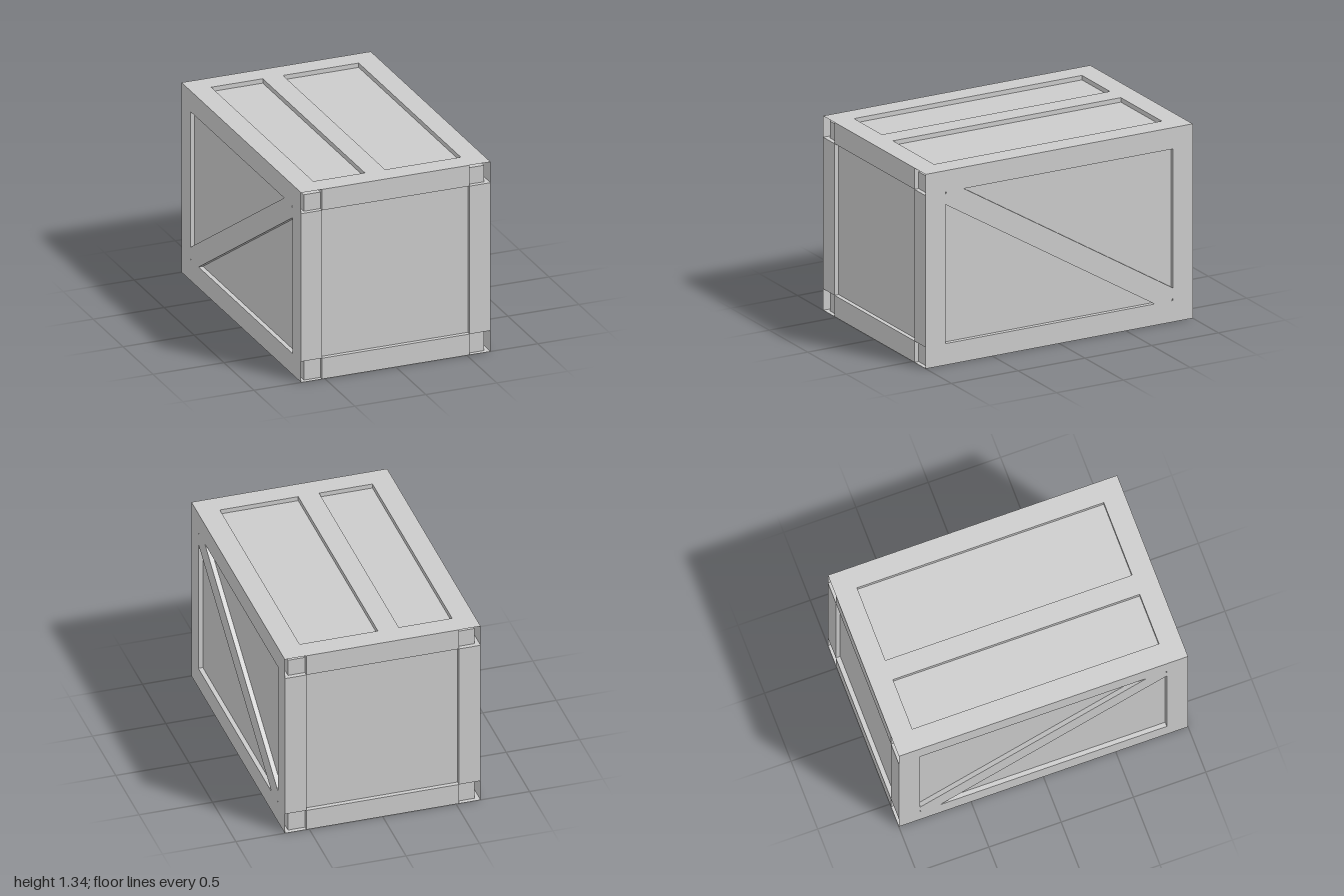
import * as THREE from 'three';

// overall size, beam thickness and panel recess
const W = 1.333, H = 1.336, L = 2, B = 0.147, R = 0.031;

export function createModel() {
  const crate = new THREE.Group();
  crate.name = 'crate';
  const mat = new THREE.MeshStandardMaterial({ color: 0xcccccc, flatShading: true, side: THREE.DoubleSide });

  // box with some faces left out (0..5 = +x -x +y -y +z -z)
  function box(name, size, pos, open = []) {
    const geo = new THREE.BoxGeometry(...size);
    const index = Array.from(geo.index.array).filter((_, i) => !open.includes(Math.floor(i / 6)));
    geo.setIndex(index);
    geo.clearGroups();
    const mesh = new THREE.Mesh(geo, mat);
    mesh.name = name;
    mesh.position.set(...pos);
    crate.add(mesh);
    return mesh;
  }

  const cx = W / 2 - B / 2, cz = L / 2 - B / 2;

  // recessed panels: four walls and a lid, open underneath
  box('panels', [W - 2 * R, H - R, L - 2 * R], [0, (H - R) / 2, 0], [3]);

  // hollow lengthwise rails with open ends
  for (const sx of [-1, 1])
    for (const y of [B / 2, H - B / 2])
      box('lengthRail', [B, B, L], [sx * cx, y, 0], [4, 5]);

  for (const sz of [-1, 1]) {
    // crosswise rails between the lengthwise ones
    for (const y of [B / 2, H - B / 2])
      box('crossRail', [W - 2 * B, B, B], [0, y, sz * cz], [0, 1]);
    // corner posts
    for (const sx of [-1, 1])
      box('cornerPost', [B, H - 2 * B, B], [sx * cx, H / 2, sz * cz], [2, 3]);
  }

  // slat along the lid, set off centre
  box('lidSlat', [0.142, R, L - 2 * B], [-0.085, H - R / 2, 0], [3, 4, 5]);

  // diagonal brace on each long side, high at the front
  for (const sx of [-1, 1]) {
    const brace = box('diagonalBrace', [R, 0.145, 1.98], [sx * (W / 2 - R / 2), H / 2, 0], [sx > 0 ? 1 : 0]);
    brace.rotation.x = -Math.atan(0.61);
  }

  return crate;
}
